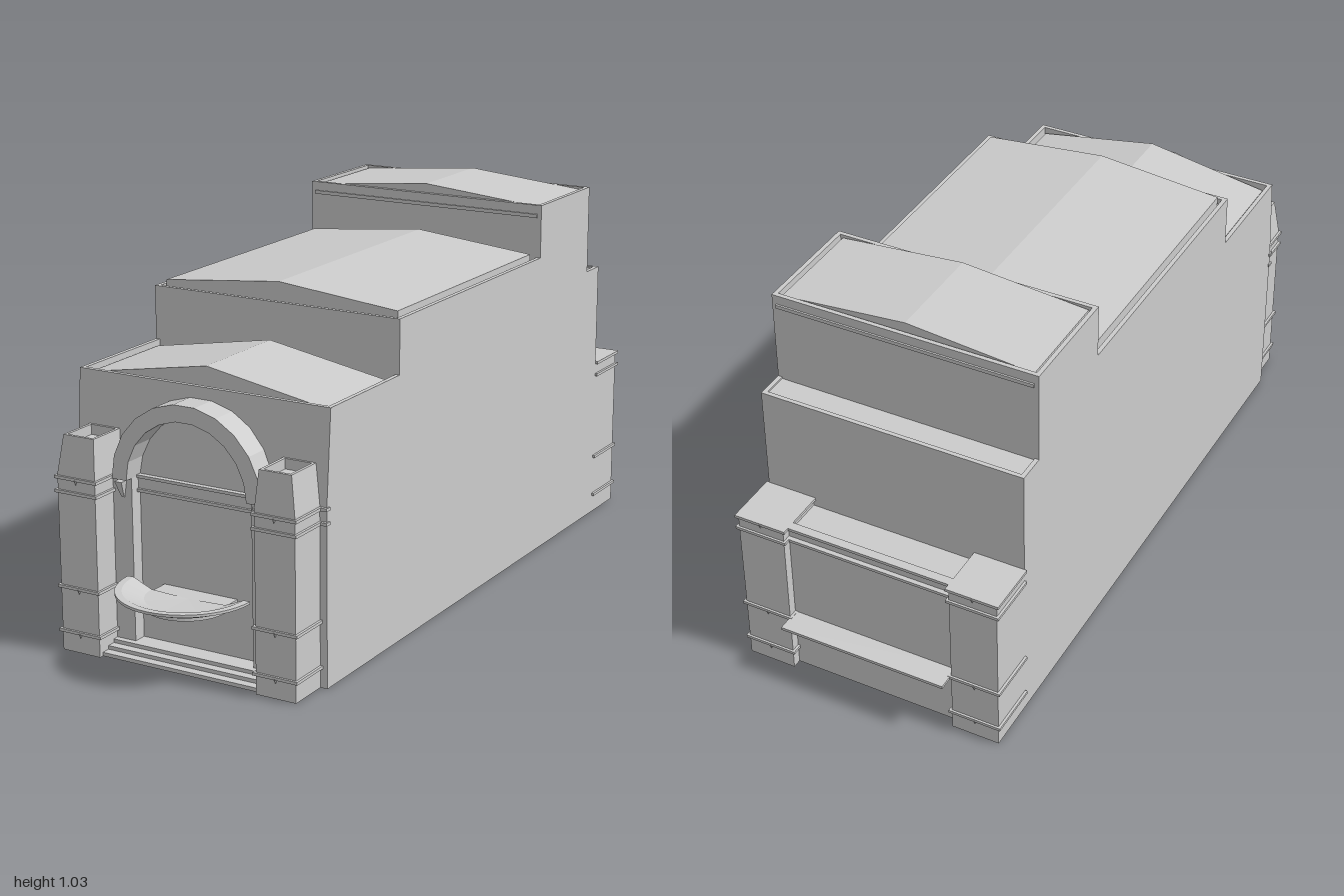
import * as THREE from 'three';

const W = 0.37, T = 0.012; // half width, wall thickness
const mat = new THREE.MeshStandardMaterial({ color: 0xcccccc, flatShading: true });
const thinMat = new THREE.MeshStandardMaterial({ color: 0xcccccc, flatShading: true, side: THREE.DoubleSide });

export function createModel() {
  const model = new THREE.Group();

  const add = (name, geo, parent = model, material = mat) => {
    const m = new THREE.Mesh(geo, material);
    m.name = name;
    parent.add(m);
    return m;
  };
  // box given by its limits
  const box = (name, x0, x1, y0, y1, z0, z1, parent = model) => {
    const m = add(name, new THREE.BoxGeometry(x1 - x0, y1 - y0, z1 - z0), parent);
    m.position.set((x0 + x1) / 2, (y0 + y1) / 2, (z0 + z1) / 2);
    return m;
  };
  const polygon = (pts) => new THREE.Shape(pts.map(([x, y]) => new THREE.Vector2(x, y)));
  const extrude = (shape, depth) => new THREE.ExtrudeGeometry(shape, { depth, bevelEnabled: false });

  // rectangular rings [x0, x1, z0, z1, y] joined from bottom to top
  const loft = (rings) => {
    const pos = [], idx = [];
    for (const [x0, x1, z0, z1, y] of rings) pos.push(x0, y, z1, x1, y, z1, x1, y, z0, x0, y, z0);
    for (let r = 0; r < rings.length - 1; r++)
      for (let i = 0; i < 4; i++) {
        const a = r * 4 + i, b = r * 4 + (i + 1) % 4;
        idx.push(a, b, b + 4, a, b + 4, a + 4);
      }
    const e = (rings.length - 1) * 4;
    idx.push(e, e + 1, e + 2, e, e + 2, e + 3, 0, 2, 1, 0, 3, 2);
    const g = new THREE.BufferGeometry();
    g.setAttribute('position', new THREE.Float32BufferAttribute(pos, 3));
    g.setIndex(idx);
    const flat = g.toNonIndexed();
    flat.computeVertexNormals();
    return flat;
  };

  // stepped side walls, drawn as (z, y)
  const side = polygon([[0.76, 0], [0.76, 0.47], [0.74, 0.717], [0.4, 0.717], [0.4, 0.862], [-0.41, 0.862],
    [-0.41, 1.01], [-0.73, 1.01], [-0.73, 0.76], [-0.81, 0.76], [-0.81, 0.47], [-0.955, 0.47], [-0.955, 0]]);
  for (const x of [-W + T, W]) {
    const wall = add('sideWall', extrude(side, T), model, thinMat);
    wall.rotation.y = -Math.PI / 2;
    wall.scale.z = 1;
    wall.position.x = x;
  }

  // cross walls between the roof steps
  const cross = (name, y0, y1, z0) => box(name, -W + T, W - T, y0, y1, z0, z0 + T);
  cross('frontParapet', 0.68, 0.717, 0.728);
  cross('frontStepWall', 0.68, 0.862, 0.4 - T);
  cross('middleStepWall', 0.83, 1.01, -0.41 - T);
  cross('rearStepWall', 0.72, 1.01, -0.73);
  cross('rearLowerWall', 0.43, 0.76, -0.81);
  box('rearLedge', -W + T, W - T, 0.735, 0.755, -0.8, -0.73);

  // shallow gabled roofs behind the parapets
  for (const [name, z0, z1, eave, peak, base] of [
    ['frontRoof', 0.42, 0.717, 0.704, 0.765, 0.69],
    ['middleRoof', -0.385, 0.375, 0.875, 0.91, 0.845],
    ['rearRoof', -0.715, -0.425, 1.003, 1.035, 0.985],
  ]) {
    const gable = polygon([[-0.35, base], [0.35, base], [0.35, eave], [0, peak], [-0.35, eave]]);
    add(name, extrude(gable, z1 - z0)).position.z = z0;
    box(name + 'Gutter', -W + T, W - T, base - 0.01, base, z0 - 0.02, z1 + 0.02);
  }

  // front wall, leaning back above the column trim
  const facade = new THREE.PlaneGeometry(2 * W, 0.717, 1, 2);
  const p = facade.attributes.position;
  for (let i = 0; i < p.count; i++) {
    const row = Math.floor(i / 2);
    p.setY(i, [0.717, 0.47, 0][row]);
    p.setZ(i, [0.74, 0.76, 0.76][row]);
  }
  facade.computeVertexNormals();
  add('frontWall', facade);

  // arch over the niche
  const arch = new THREE.Shape();
  const N = 11;
  const ring = (r, i) => [r * Math.cos(Math.PI * i / N), 0.467 + r * Math.sin(Math.PI * i / N)];
  for (let i = 0; i <= N; i++) arch[i ? 'lineTo' : 'moveTo'](...ring(0.222, i));
  for (let i = N; i >= 0; i--) arch.lineTo(...ring(0.178, i));
  add('arch', extrude(arch, 0.075)).position.z = 0.745;
  box('transom', -0.178, 0.178, 0.43, 0.467, 0.757, 0.768);
  for (const y of [0.43, 0.467]) box('transomTrim', -0.178, 0.178, y - 0.004, y + 0.004, 0.757, 0.775);

  // thin bands wrapped round a block, with a small stud under each
  const bands = (parent, x0, x1, z0, z1, studZ, dir) => {
    for (const y of [0.055, 0.175, 0.43, 0.467]) {
      box('trimBand', x0 - 0.007, x1 + 0.007, y - 0.004, y + 0.004, z0 - 0.006, z1 + 0.006, parent);
      if (y === 0.43) continue;
      const stud = add('trimStud', new THREE.ConeGeometry(0.006, 0.014, 4), parent);
      stud.rotation.x = Math.PI;
      stud.position.set((x0 + x1) / 2, y - 0.008, studZ + dir * 0.002);
    }
  };

  for (const s of [-1, 1]) {
    // front column with a tapered, hollow cap
    const column = new THREE.Group();
    column.name = 'frontColumn';
    const span = (a, b) => (s > 0 ? [a, b] : [-b, -a]);
    add('columnShaft', loft([
      [...span(0.235, 0.35), 0.757, 0.875, 0],
      [...span(0.235, 0.35), 0.757, 0.875, 0.475],
      [...span(0.243, 0.335), 0.75, 0.864, 0.577],
      [...span(0.251, 0.327), 0.758, 0.856, 0.577],
      [...span(0.251, 0.327), 0.758, 0.856, 0.55],
    ]), column);
    bands(column, ...span(0.235, 0.35), 0.757, 0.875, 0.875, 1);
    model.add(column);

    // jamb, corbel and trim beside the niche
    box('nicheJamb', ...span(0.178, 0.235), 0, 0.467, 0.757, 0.797);
    add('archCorbel', loft([
      [...span(0.2, 0.208), 0.79, 0.8, 0.415],
      [...span(0.193, 0.215), 0.79, 0.82, 0.46],
    ]));
    for (const y of [0.43, 0.467]) box('wallTrim', ...span(0.35, 0.374), y - 0.004, y + 0.004, 0.75, 0.768);

    // rear corner pillar
    const pillar = new THREE.Group();
    pillar.name = 'rearPillar';
    add('pillarShaft', loft([
      [...span(0.237, W), -0.955, -0.8, 0],
      [...span(0.237, W), -0.955, -0.8, 0.47],
      [...span(0.245, W - 0.01), -0.945, -0.81, 0.47],
      [...span(0.245, W - 0.01), -0.945, -0.81, 0.45],
    ]), pillar);
    bands(pillar, ...span(0.237, W), -0.955, -0.815, -0.955, -1);
    model.add(pillar);
  }

  // low steps between the columns
  [0.862, 0.838, 0.814].forEach((z, i) => box('step', -0.235, 0.235, i * 0.01, (i + 1) * 0.01, 0.757, z));

  // half-round basin
  const basin = new THREE.Group();
  basin.name = 'basin';
  const profile = [[0, 0.168], [0.11, 0.168], [0.11, 0.18], [0.13, 0.184], [0.172, 0.204], [0.183, 0.206],
    [0.183, 0.213], [0.165, 0.213], [0.11, 0.19], [0, 0.186]];
  add('bowl', new THREE.LatheGeometry(profile.map(([r, y]) => new THREE.Vector2(r, y)), 24, -Math.PI / 2, Math.PI), basin, thinMat);
  const back = [...profile, ...profile.slice(1, -1).reverse().map(([r, y]) => [-r, y])];
  add('bowlBack', new THREE.ShapeGeometry(polygon(back)), basin, thinMat);
  box('bowlBracket', -0.11, 0.11, 0.168, 0.186, -0.06, 0, basin);
  basin.position.z = 0.817;
  model.add(basin);

  // rear panel, cornice and shelf between the pillars
  box('rearPanel', -0.24, 0.24, 0, 0.465, -0.93, -0.918);
  box('rearTerrace', -0.24, 0.24, 0.43, 0.445, -0.92, -0.8);
  for (const y of [0.43, 0.467]) box('rearCornice', -0.24, 0.24, y - 0.004, y + 0.004, -0.943, -0.918);
  box('rearShelf', -0.236, 0.236, 0.17, 0.178, -1, -0.92);

  return model;
}
